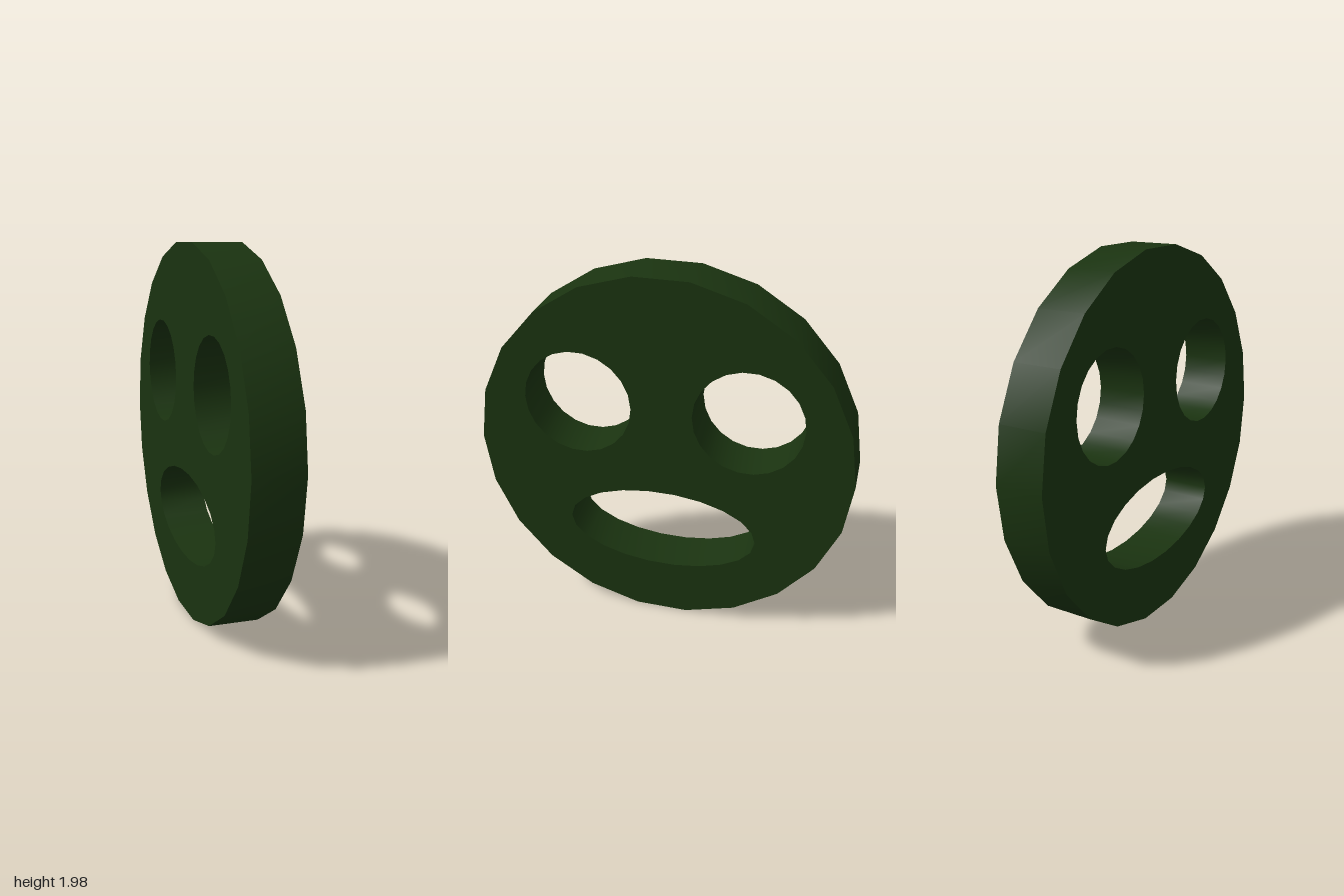
import * as THREE from 'three';
import { toCreasedNormals } from 'three/addons/utils/BufferGeometryUtils.js';

const SIDES = 22;
const THICKNESS = 0.262;

// Corners of a 22-sided ellipse
function ellipsePoints(cx, cy, rx, ry) {
  return Array.from({ length: SIDES }, (_, i) => {
    const a = (i / SIDES) * Math.PI * 2;
    return new THREE.Vector2(cx + rx * Math.cos(a), cy + ry * Math.sin(a));
  });
}

export function createModel() {
  const group = new THREE.Group();
  group.name = 'faceDisc';

  // Round disc outline, standing on its lower flat
  const outline = new THREE.Shape(ellipsePoints(0, 0.99, 1, 1));

  // Two round eye holes and a wide oval mouth hole
  for (const side of [-1, 1]) {
    outline.holes.push(new THREE.Path(ellipsePoints(side * 0.447, 1.267, 0.287, 0.287)));
  }
  outline.holes.push(new THREE.Path(ellipsePoints(0, 0.55, 0.515, 0.237)));

  // Extrude, centre the thickness and turn the face towards the x axis
  const extruded = new THREE.ExtrudeGeometry(outline, { depth: THICKNESS, bevelEnabled: false });
  extruded.translate(0, 0, -THICKNESS / 2);
  extruded.rotateY(Math.PI / 2);

  // Smooth rims with sharp edges at the flat faces
  const geometry = toCreasedNormals(extruded, 0.9);
  const disc = new THREE.Mesh(geometry, new THREE.MeshStandardMaterial({ color: 0x1a3310 }));
  disc.name = 'disc';
  group.add(disc);

  return group;
}
